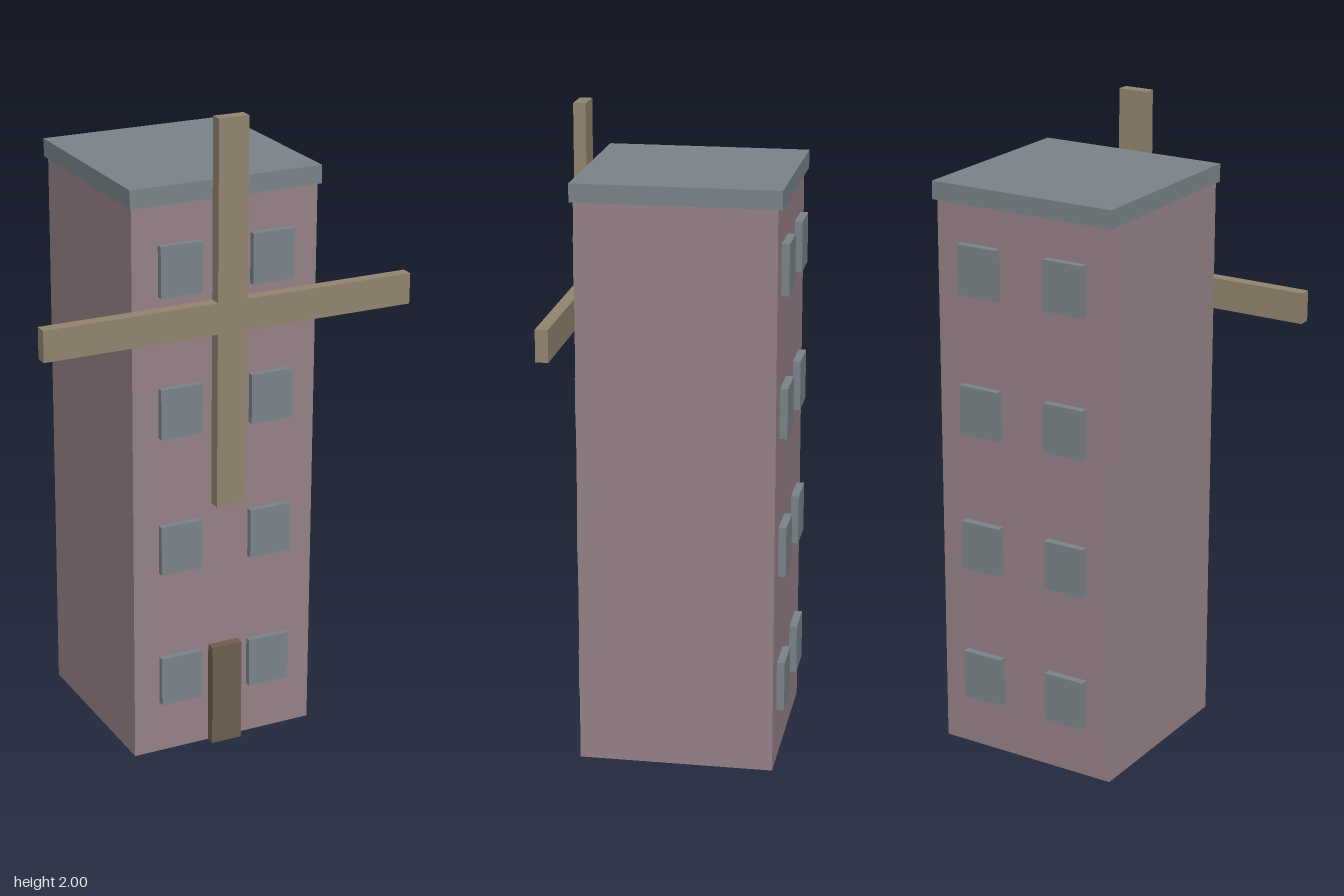
import * as THREE from 'three';

const mat = (name, color) => {
  const m = new THREE.MeshStandardMaterial({ color });
  m.name = name;
  return m;
};

export function createModel() {
  const model = new THREE.Group();
  model.name = 'towerMill';
  const wall = mat('dusty pink wall', 0x968287);
  const slate = mat('blue grey slate', 0x7a8489);
  const wood = mat('light wood', 0x938570);
  const darkWood = mat('dark wood', 0x6e5f50);

  // Box given by its lower and upper limits on each axis
  const box = (name, material, [x0, x1], [y0, y1], [z0, z1]) => {
    const mesh = new THREE.Mesh(new THREE.BoxGeometry(x1 - x0, y1 - y0, z1 - z0), material);
    mesh.position.set((x0 + x1) / 2, (y0 + y1) / 2, (z0 + z1) / 2);
    mesh.name = name;
    model.add(mesh);
  };

  // Tower, roof slab and door
  box('tower', wall, [-0.3, 0.3], [0, 1.757], [-0.314, 0.286]);
  box('roof', slate, [-0.308, 0.308], [1.757, 1.813], [-0.328, 0.297]);
  box('door', darkWood, [-0.05, 0.05], [0, 0.33], [0.28, 0.316]);

  // Four rows of windows, two per row, on front and back
  for (let row = 0; row < 4; row++) {
    const y = 0.245 + row * 0.438;
    for (const x of [-0.149, 0.149]) {
      const xs = [x - 0.0675, x + 0.0675];
      const ys = [y - 0.078, y + 0.078];
      box('frontWindow', slate, xs, ys, [0.28, 0.306]);
      box('backWindow', slate, xs, ys, [-0.338, -0.308]);
    }
  }

  // Cross-shaped sails
  const w = 0.048, r = 0.596;
  const cross = new THREE.Shape([
    [w, w], [w, r], [-w, r], [-w, w], [-r, w], [-r, -w],
    [-w, -w], [-w, -r], [w, -r], [w, -w], [r, -w], [r, w],
  ].map(([x, y]) => new THREE.Vector2(x, y)));
  const sails = new THREE.Mesh(
    new THREE.ExtrudeGeometry(cross, { depth: 0.038, bevelEnabled: false }), wood);
  sails.position.set(0, 2 - r, 0.298);
  sails.name = 'sails';
  model.add(sails);

  return model;
}
